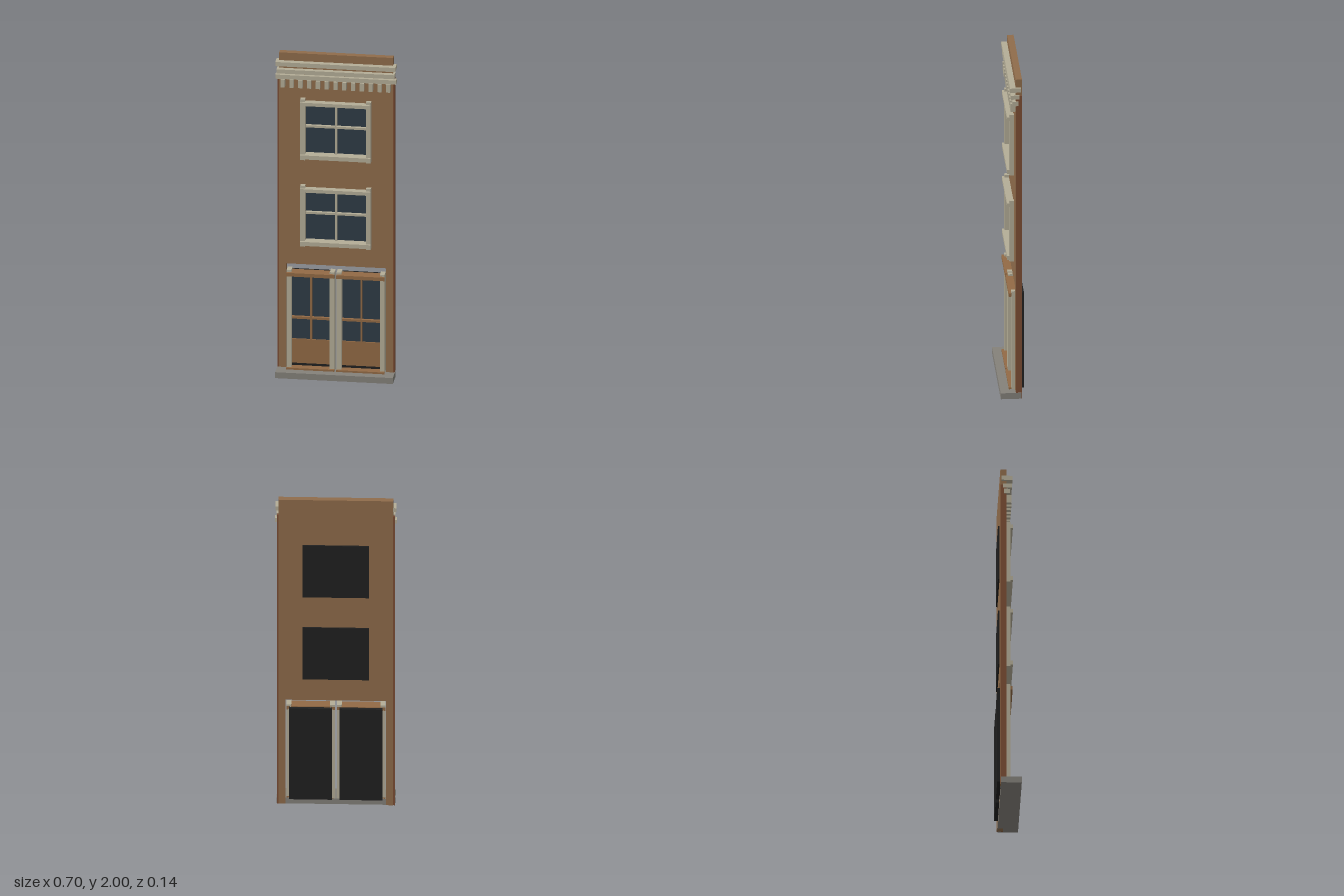
import * as THREE from 'three';

const mat = (name, color) => {
  const m = new THREE.MeshStandardMaterial({ color });
  m.name = name;
  return m;
};

export function createModel() {
  const brick = mat('brown wall', 0x8f6c4b);
  const edge = mat('reddish edge', 0x7c4d34);
  const trim = mat('pale trim', 0xb4ad97);
  const wood = mat('door wood', 0x926a45);
  const stone = mat('grey stone', 0x84817a);
  const glass = mat('dark glass', 0x2e3b46);
  const black = mat('black backing', 0x202020);

  const model = new THREE.Group();
  model.name = 'townhouseFacade';

  // Box given by its low and high limits on each axis
  const box = (parent, name, material, x0, x1, y0, y1, z0, z1) => {
    const mesh = new THREE.Mesh(new THREE.BoxGeometry(x1 - x0, y1 - y0, z1 - z0), material);
    mesh.position.set((x0 + x1) / 2, (y0 + y1) / 2, (z0 + z1) / 2);
    mesh.name = name;
    parent.add(mesh);
  };
  const group = (name, x, y) => {
    const g = new THREE.Group();
    g.name = name;
    g.position.set(x, y, 0);
    model.add(g);
    return g;
  };

  // Wall with a doorway notch and two window holes
  const windowCentres = [0.995, 1.535];
  const outline = [[-0.332, 0], [-0.291, 0], [-0.291, 0.685], [0.291, 0.685],
    [0.291, 0], [0.332, 0], [0.332, 2], [-0.332, 2]];
  const shape = new THREE.Shape(outline.map(([x, y]) => new THREE.Vector2(x, y)));
  for (const y of windowCentres) {
    const corners = [[-0.185, -0.165], [-0.185, 0.165], [0.185, 0.165], [0.185, -0.165]];
    shape.holes.push(new THREE.Path(corners.map(([a, b]) => new THREE.Vector2(a, y + b))));
  }
  const wallGeometry = new THREE.ExtrudeGeometry(shape, { depth: 0.037, bevelEnabled: false });
  wallGeometry.translate(0, 0, -0.055);
  const wall = new THREE.Mesh(wallGeometry, brick);
  wall.name = 'wall';
  model.add(wall);

  // Side strips
  for (const s of [-1, 1]) {
    const a = s * 0.332, b = s * 0.341;
    box(model, 'wallEdge', edge, Math.min(a, b), Math.max(a, b), 0, 1.9, -0.054, -0.019);
  }

  // Front step
  box(model, 'step', stone, -0.343, 0.343, 0, 0.037, -0.05, 0.069);

  // Cornice mouldings and dentils
  box(model, 'corniceTop', trim, -0.35, 0.35, 1.926, 1.952, -0.049, 0.015);
  box(model, 'corniceMiddle', trim, -0.344, 0.344, 1.88, 1.905, -0.04, 0.011);
  box(model, 'corniceLower', trim, -0.352, 0.352, 1.842, 1.868, -0.034, 0.001);
  for (let i = 0; i < 13; i++) {
    const x = (i - 6) * 0.0513;
    box(model, 'dentil', trim, x - 0.012, x + 0.012, 1.794, 1.842, -0.019, 0.011);
  }

  // Windows
  for (const y of windowCentres) {
    const w = group('window', 0, y);
    for (const s of [-1, 1]) {
      const x = s * 0.192;
      box(w, 'windowJamb', trim, x - 0.014, x + 0.014, -0.19, 0.19, -0.035, 0.009);
    }
    box(w, 'windowLintel', trim, -0.205, 0.205, 0.153, 0.174, -0.035, 0.022);
    box(w, 'windowSill', trim, -0.205, 0.205, -0.18, -0.155, -0.035, 0.022);
    box(w, 'windowMullion', trim, -0.006, 0.006, -0.155, 0.153, -0.036, -0.018);
    box(w, 'windowCrossbar', trim, -0.178, 0.178, 0.006, 0.019, -0.036, -0.016);
    box(w, 'windowGlass', glass, -0.18, 0.18, -0.16, 0.16, -0.042, -0.035);
    box(w, 'windowBacking', black, -0.192, 0.192, -0.17, 0.17, -0.064, -0.0425);
  }

  // Pair of glazed doors
  for (const s of [-1, 1]) {
    const d = group('door', s * 0.146, 0);
    for (const t of [-1, 1]) {
      const x = t * 0.126;
      box(d, 'doorJamb', trim, x - 0.014, x + 0.014, 0.037, 0.652, -0.05, 0.004);
    }
    box(d, 'doorLintel', wood, -0.14, 0.14, 0.618, 0.64, -0.05, 0.018);
    box(d, 'doorThreshold', wood, -0.14, 0.14, 0.037, 0.048, -0.05, 0.018);
    box(d, 'doorKickplate', black, -0.112, 0.112, 0.048, 0.062, -0.046, -0.03);
    box(d, 'doorPanel', wood, -0.112, 0.112, 0.062, 0.212, -0.046, -0.03);
    box(d, 'doorGlass', glass, -0.112, 0.112, 0.212, 0.618, -0.046, -0.037);
    box(d, 'doorMullion', wood, -0.005, 0.005, 0.212, 0.618, -0.037, -0.022);
    box(d, 'doorCrossbar', wood, -0.112, 0.112, 0.341, 0.355, -0.037, -0.02);
    box(d, 'doorBacking', black, -0.124, 0.124, 0.039, 0.636, -0.071, -0.0465);
  }

  return model;
}
